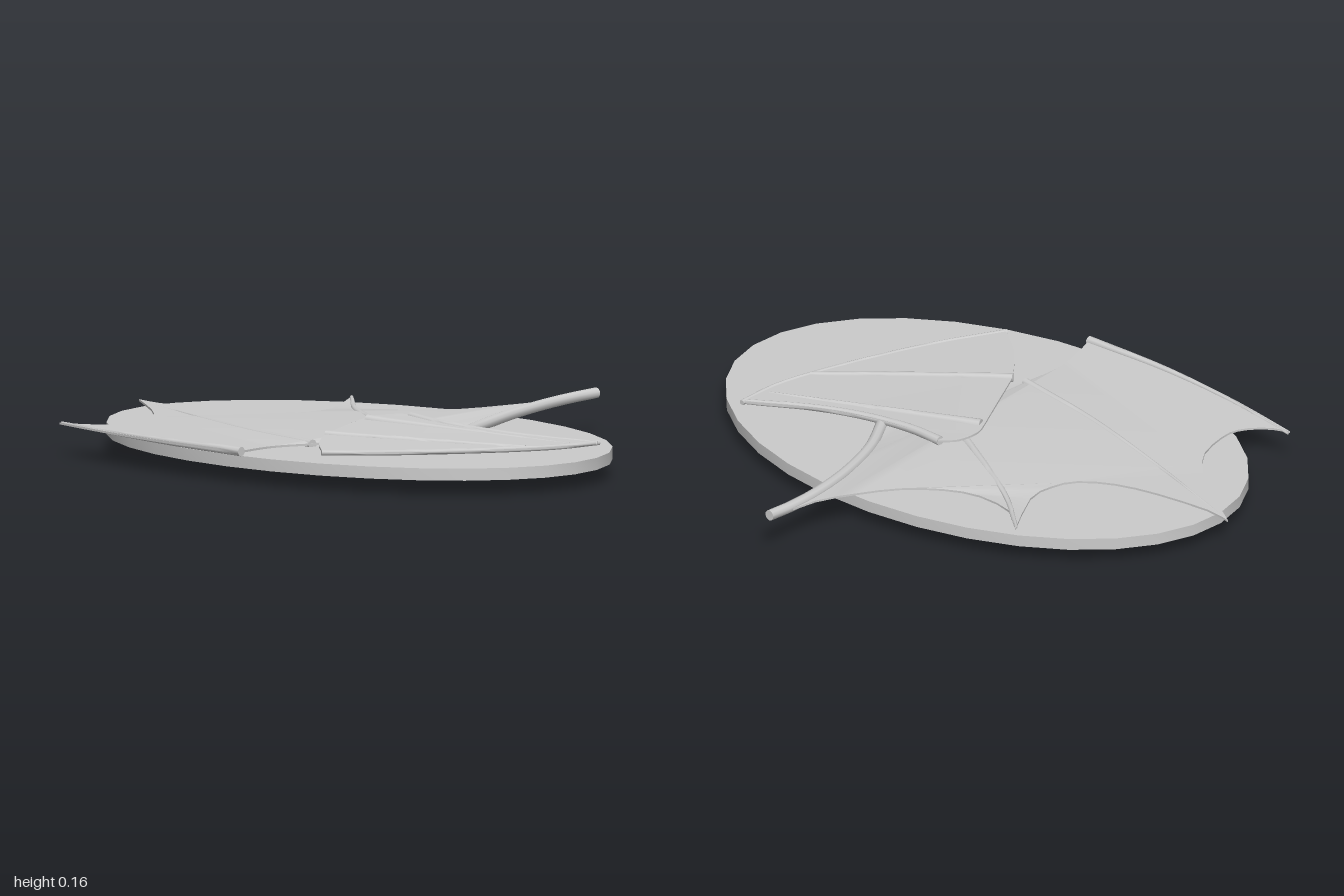
import * as THREE from 'three';
import { toCreasedNormals } from 'three/addons/utils/BufferGeometryUtils.js';

const mat = new THREE.MeshStandardMaterial({ color: 0xcccccc, side: THREE.DoubleSide });

// Height of the large rear membrane and of the raised front fan
const rearHeight = (x, z) => 0.1 + Math.max(0, x - 0.2) * 0.06 + Math.max(0, -x - 0.5) * 0.03;
const fanHeight = (x, z) => 0.1 + 0.034 * THREE.MathUtils.clamp((0.78 - z) / 0.75, 0, 1);

// Thin skin whose outline is a chain of smooth [x, z] edges meeting at sharp corners
function membrane(name, edges, height) {
  const outline = edges.flatMap((edge) =>
    new THREE.SplineCurve(edge.map(([x, z]) => new THREE.Vector2(x, -z))).getPoints(14).slice(0, -1));
  const g = new THREE.ExtrudeGeometry(new THREE.Shape(outline), { depth: 0.007, bevelEnabled: false });
  g.rotateX(-Math.PI / 2);
  const p = g.attributes.position;
  for (let i = 0; i < p.count; i++) p.setY(i, p.getY(i) + height(p.getX(i), p.getZ(i)));
  const mesh = new THREE.Mesh(toCreasedNormals(g, 0.6), mat);
  mesh.name = name;
  return mesh;
}

// Tapered, capped tube that follows a membrane
function rib(name, path, r0, r1, height, lift = 0.005) {
  const curve = new THREE.CatmullRomCurve3(path.map(([x, z]) => new THREE.Vector3(x, height(x, z) + lift, z)));
  const n = 20, sides = 10;
  const g = new THREE.TubeGeometry(curve, n, 1, sides);
  const p = g.attributes.position, v = new THREE.Vector3();
  for (let i = 0; i <= n; i++) {
    const c = curve.getPointAt(i / n);
    const at = i === 1 ? 0 : i === n - 1 ? 1 : i / n;
    const end = curve.getPointAt(at);
    const r = i === 0 || i === n ? 0 : THREE.MathUtils.lerp(r0, r1, at);
    for (let j = 0; j <= sides; j++) {
      const k = i * (sides + 1) + j;
      v.fromBufferAttribute(p, k).sub(c).multiplyScalar(r).add(end);
      p.setXYZ(k, v.x, v.y, v.z);
    }
  }
  const mesh = new THREE.Mesh(toCreasedNormals(g, 0.9), mat);
  mesh.name = name;
  return mesh;
}

export function createModel() {
  const model = new THREE.Group();

  // Oval base: flat top, straight rim, shallow domed underside
  const profile = [[0, 0.005], [0.3, 0.008], [0.57, 0.016], [0.8, 0.035], [1, 0.055], [1, 0.095], [0, 0.095]];
  const disc = new THREE.LatheGeometry(profile.map(([r, y]) => new THREE.Vector2(r, y)), 32);
  disc.scale(0.64, 1, 0.965);
  disc.translate(-0.16, 0, 0.033);
  const base = new THREE.Mesh(toCreasedNormals(disc, 0.4), mat);
  base.name = 'ovalBase';
  model.add(base);

  // Paths shared by membrane edges and their ribs
  const leftEdge = [[-0.835, 0.12], [-0.825, -0.2], [-0.785, -0.5], [-0.72, -0.79]];
  const arm = [[0.83, 0.175], [0.73, 0.165], [0.6, 0.165], [0.4, 0.19], [0.18, 0.25], [0.03, 0.32]];
  const fanFront = [[0.195, 0.78], [0.05, 0.765], [-0.1, 0.715], [-0.35, 0.595], [-0.53, 0.49], [-0.7, 0.37]];
  const fanRight = [[0.07, 0.06], [0.05, 0.2], [0.06, 0.38], [0.1, 0.55], [0.195, 0.78]];

  // Scalloped rear membrane
  model.add(membrane('rearMembrane', [
    leftEdge,
    [[-0.72, -0.79], [-0.7, -0.72], [-0.64, -0.65], [-0.56, -0.63], [-0.42, -0.66], [-0.28, -0.78], [-0.11, -1]],
    [[-0.11, -1], [-0.13, -0.9], [-0.12, -0.7], [-0.09, -0.55], [-0.03, -0.44], [0.05, -0.395], [0.16, -0.39], [0.37, -0.49]],
    [[0.37, -0.49], [0.28, -0.4], [0.25, -0.25], [0.29, -0.13], [0.38, -0.02], [0.5, 0.06], [0.64, 0.13], [0.83, 0.16]],
    arm.map(([x, z]) => [x, z]),
    [[0.03, 0.32], [-0.2, 0.25], [-0.43, 0.15]],
    [[-0.43, 0.15], [-0.5, 0.115], [-0.65, 0.088], [-0.835, 0.12]],
  ], rearHeight));

  // Raised front fan
  model.add(membrane('frontFan', [
    fanFront,
    [[-0.7, 0.37], [-0.59, 0.25], [-0.44, 0.14]],
    [[-0.44, 0.14], [-0.28, 0.075], [-0.12, 0.01]],
    [[-0.12, 0.01], [-0.05, -0.01], [0.03, 0.01], [0.07, 0.06]],
    fanRight,
  ], fanHeight));

  // Rear membrane ribs and the long side arm
  model.add(
    rib('leftEdgeRib', leftEdge.map(([x, z]) => [x + 0.012, z]), 0.016, 0.004, rearHeight),
    rib('middleRearRib', [[-0.48, 0.12], [-0.4, -0.22], [-0.27, -0.6], [-0.12, -0.98]], 0.016, 0.004, rearHeight, 0.003),
    rib('rightRearRib', [[-0.03, 0.02], [0.08, -0.15], [0.2, -0.32], [0.36, -0.485]], 0.018, 0.006, rearHeight),
    rib('sideArm', arm, 0.018, 0.02, rearHeight, 0.006),
  );

  // Fan ribs and rolled edges
  model.add(
    rib('leftFanRib', [[-0.44, 0.14], [-0.27, 0.425], [-0.09, 0.71]], 0.015, 0.011, fanHeight, 0.003),
    rib('rightFanRib', [[-0.11, 0.02], [-0.01, 0.38], [0.09, 0.74]], 0.02, 0.008, fanHeight, 0),
    rib('fanFrontEdge', fanFront.map(([x, z]) => [x, z - 0.006]), 0.009, 0.009, fanHeight, 0.002),
    rib('fanRightEdge', fanRight.map(([x, z]) => [x - 0.012, z]), 0.016, 0.009, fanHeight, 0),
  );
  return model;
}
